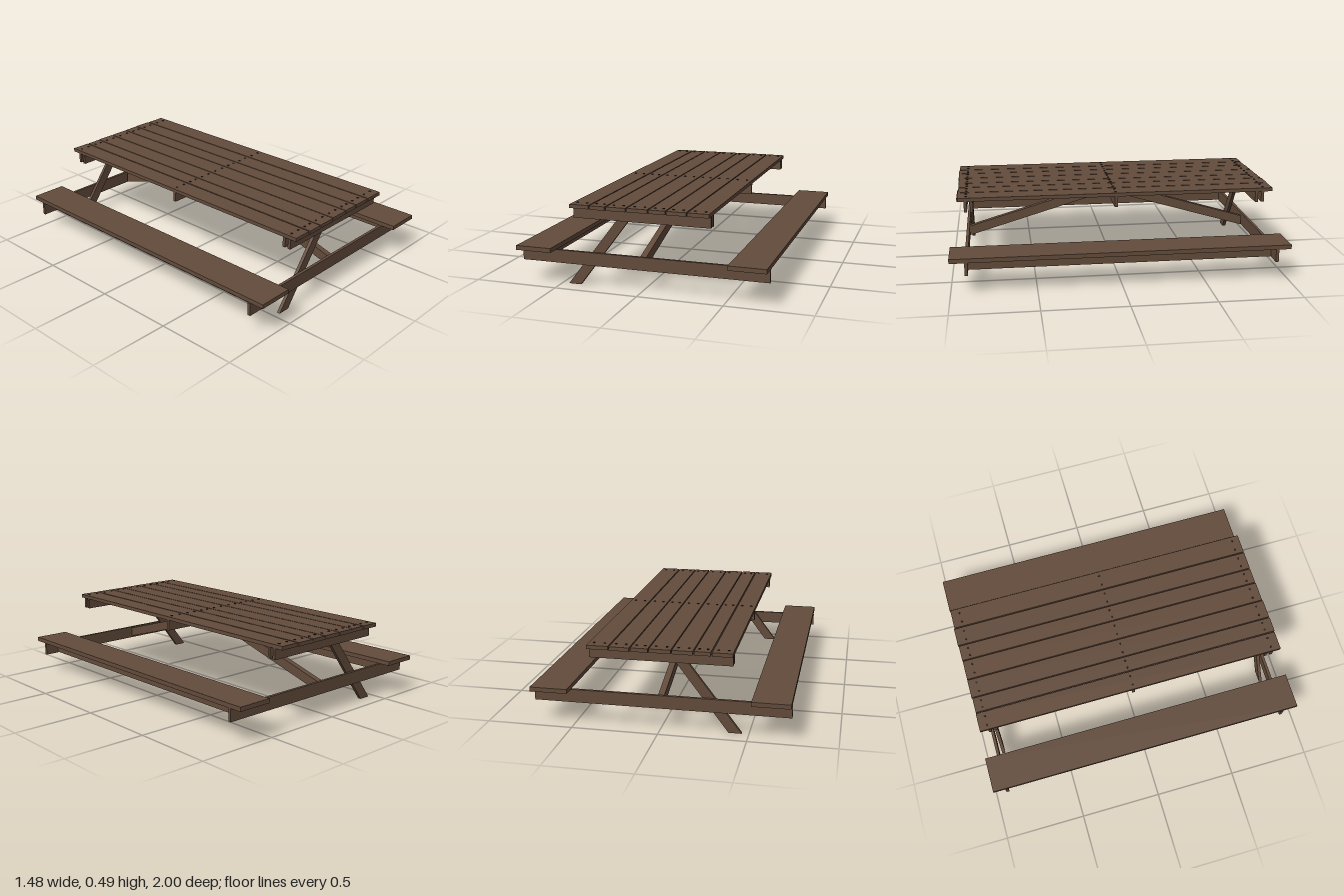
import * as THREE from 'three';

export function createModel() {
  const model = new THREE.Group();
  model.name = 'picnicTable';

  const wood = new THREE.MeshStandardMaterial({ color: 0x624b3b });
  wood.name = 'brown wood';
  const iron = new THREE.MeshStandardMaterial({ color: 0x2a201a });
  iron.name = 'dark screw';

  const add = (name, geometry, material = wood) => {
    const mesh = new THREE.Mesh(geometry, material);
    mesh.name = name;
    model.add(mesh);
    return mesh;
  };

  // Box given by its limits on each axis
  const board = (name, [x0, x1], [y0, y1], [z0, z1]) =>
    add(name, new THREE.BoxGeometry(x1 - x0, y1 - y0, z1 - z0))
      .position.set((x0 + x1) / 2, (y0 + y1) / 2, (z0 + z1) / 2);

  // Slanted board cut from an outline
  const slanted = (name, points, depth) => {
    const shape = new THREE.Shape(points.map(([x, y]) => new THREE.Vector2(x, y)));
    const geometry = new THREE.ExtrudeGeometry(shape, { depth, bevelEnabled: false });
    geometry.translate(0, 0, -depth / 2);
    return add(name, geometry);
  };

  // Table top: seven planks of uneven width and length, with screws
  const planks = [
    [-0.415, -0.3, -0.97, 0.955], [-0.293, -0.2, -0.968, 0.958],
    [-0.194, -0.078, -0.972, 0.956], [-0.072, 0.05, -0.972, 0.952],
    [0.056, 0.154, -0.974, 0.95], [0.16, 0.274, -0.978, 0.95],
    [0.281, 0.404, -0.974, 0.95],
  ];
  const screw = new THREE.CylinderGeometry(0.007, 0.007, 0.006, 8);
  for (const [x0, x1, z0, z1] of planks) {
    board('topPlank', [x0, x1], [0.467, 0.489], [z0, z1]);
    for (const z of [-0.92, 0, 0.9]) {
      for (const t of [0.25, 0.75]) {
        add('screw', screw, iron).position.set(x0 + (x1 - x0) * t, 0.489, z);
      }
    }
  }

  // Battens under the top: one in the middle, a pair around each leg
  for (const z of [0, 0.904, 0.868, -0.914, -0.876]) {
    board('topBatten', [-0.41, 0.405], [0.402, 0.467], [z - 0.009, z + 0.009]);
  }

  // Seats, each with a rail beneath
  for (const side of [-1, 1]) {
    const x = side * 0.63;
    const lift = side < 0 ? 0.004 : 0;
    board('seat', [x - 0.109, x + 0.109], [0.202 + lift, 0.228 + lift], [-1, 1]);
    board('seatRail', [x - 0.02, x + 0.02], [0.13, 0.203 + lift], [-0.905, 0.895]);
  }

  // Cross beams carrying the seats, with a single slanted leg at each end
  const leg = [[-0.46, 0.005], [-0.385, 0.002], [-0.035, 0.465], [-0.105, 0.465]];
  leg[0][1] = leg[1][1] = 0;
  for (const [beamZ, legZ] of [[0.904, 0.885], [-0.917, -0.892]]) {
    board('crossBeam', [-0.74, 0.738], [0.125, 0.202], [beamZ - 0.009, beamZ + 0.009]);
    slanted('leg', leg, 0.02).position.z = legZ;
  }

  // Braces running from the middle batten down to the cross beams
  const brace = [[0, 0.4], [0.895, 0.135], [0.895, 0.195], [0, 0.46]];
  for (const side of [-1, 1]) {
    slanted('brace', brace, 0.036).rotation.y = side * Math.PI / 2;
  }

  return model;
}
